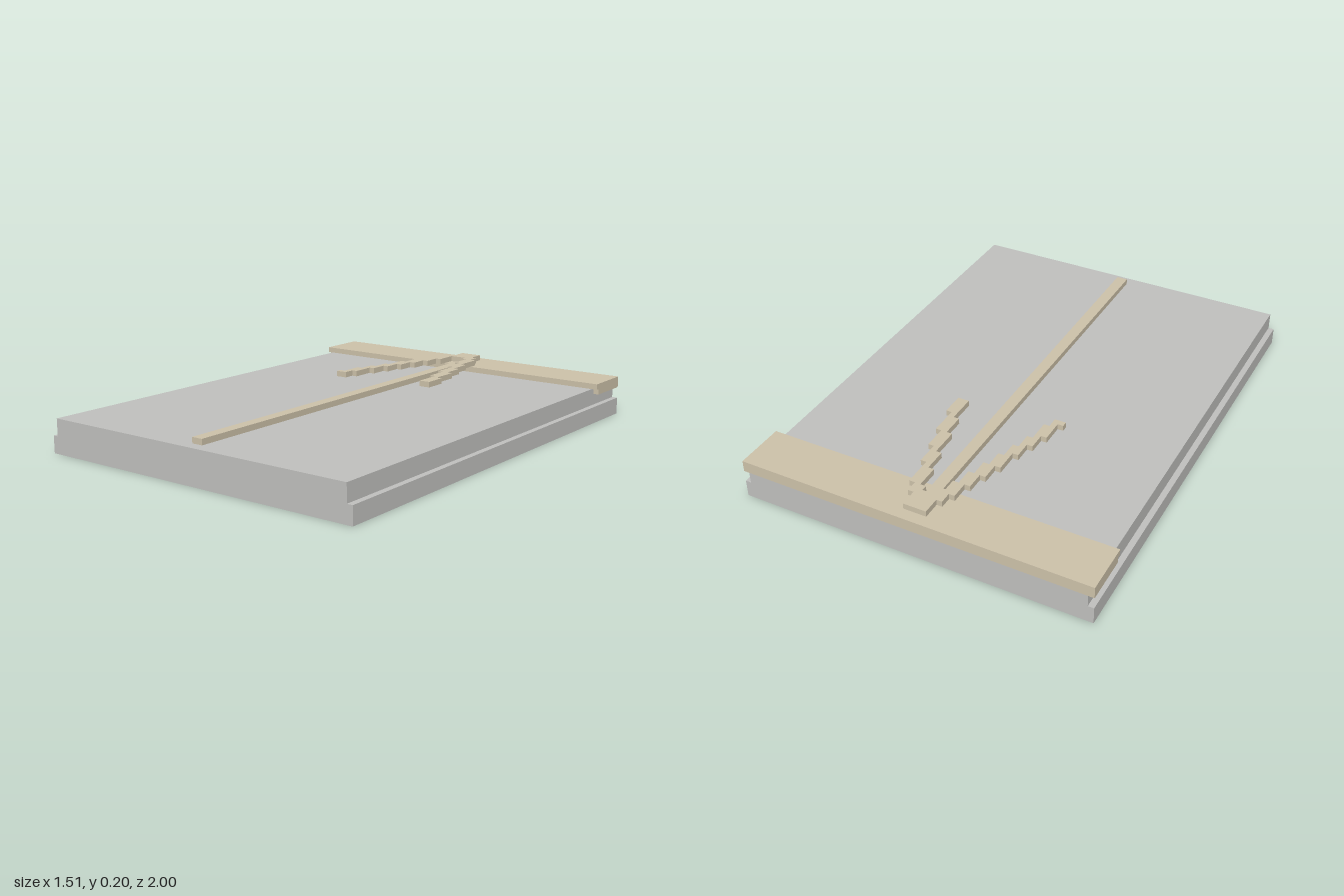
import * as THREE from 'three';

const U = 2 / 81; // one grid step: the slab is 61 x 81 steps

export function createModel() {
  const model = new THREE.Group();
  const grey = new THREE.MeshStandardMaterial({ color: 0xbebebc });
  grey.name = 'grey';
  const tan = new THREE.MeshStandardMaterial({ color: 0xcbc0a8 });
  tan.name = 'tan';

  // Box from its limits in steps; z is counted from the back edge
  const box = (name, mat, x0, x1, y0, y1, z0, z1) => {
    const geo = new THREE.BoxGeometry((x1 - x0) * U, (y1 - y0) * U, (z1 - z0) * U);
    geo.translate(((x0 + x1) / 2) * U, ((y0 + y1) / 2) * U, ((z0 + z1) / 2) * U - 1);
    const mesh = new THREE.Mesh(geo, mat);
    mesh.name = name;
    model.add(mesh);
  };

  // Slab with a ledge along both sides and a rebate at the back
  box('slabBase', grey, -30.5, 30.5, 0, 3, 0, 81);
  box('slabBody', grey, -29.5, 29.5, 3, 5, 0, 81);
  box('slabTop', grey, -29.5, 29.5, 5, 6, 8, 81);

  // Back band: a thick strip overhanging the sides
  box('bandLower', tan, -30.5, 30.5, 5, 6, 0, 8);
  box('bandUpper', tan, -30.5, 30.5, 6, 7, 0, 8.7);

  // Arrow shaft
  box('arrowShaft', tan, -1, 1, 6, 7, 8.7, 79);

  // Stepped arrowhead: each pair is [x reached, row where the edge steps to it]
  const leftOuter = [[-3, 5], [-4, 7], [-5, 10], [-6, 13], [-7, 16], [-8, 20], [-9, 23], [-10, 26], [-11, 30]];
  const leftInner = [[-8, 29], [-7, 25], [-6, 22], [-5, 19], [-4, 16], [-3, 13], [-2, 10]];
  const rightInner = [[2, 7], [3, 11], [4, 15], [5, 20], [6, 24]];
  const rightOuter = [[7, 25], [6, 20], [5, 16], [4, 12], [3, 7], [2, 5]];

  const pts = [];
  let x = -2;
  const steps = (list) => list.forEach(([nx, row]) => {
    pts.push([x, row], [nx, row]);
    x = nx;
  });
  pts.push([-2, 2]);
  steps(leftOuter);
  steps([[-9, 31]]);
  steps(leftInner);
  steps([[1, 6]]);
  steps(rightInner);
  steps([[8, 29]]);
  steps(rightOuter);
  pts.push([2, 2]);

  const shape = new THREE.Shape(pts.map(([px, row]) => new THREE.Vector2(px * U, 1 - row * U)));
  const headGeo = new THREE.ExtrudeGeometry(shape, { depth: U, bevelEnabled: false });
  headGeo.rotateX(-Math.PI / 2).translate(0, 7 * U, 0);
  const head = new THREE.Mesh(headGeo, tan);
  head.name = 'arrowHead';
  model.add(head);

  return model;
}
